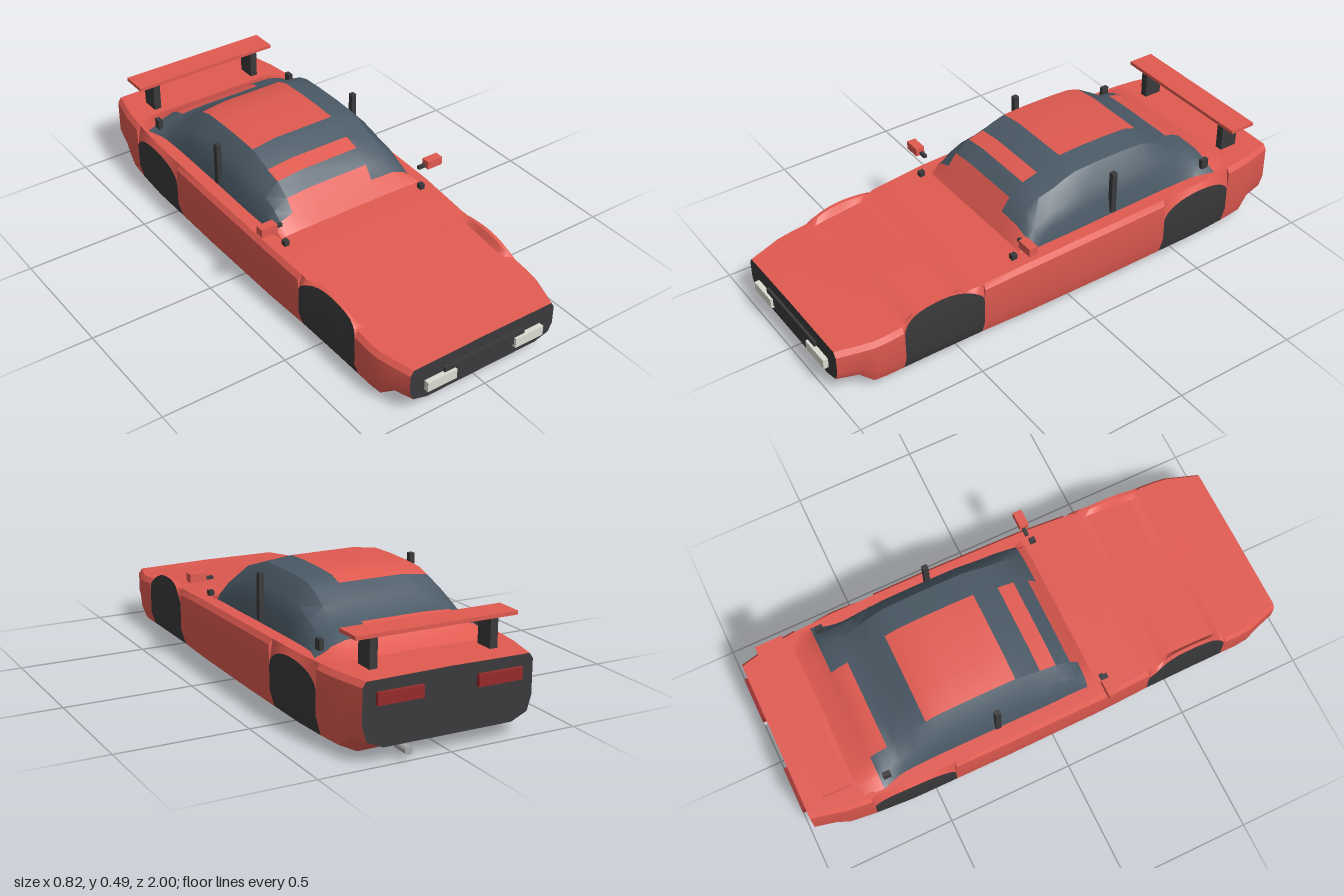
import * as THREE from 'three';
import { toCreasedNormals } from 'three/addons/utils/BufferGeometryUtils.js';

const mat = (color) => new THREE.MeshStandardMaterial({ color, side: THREE.DoubleSide });
const red = mat(0xe05a50), glass = mat(0x4b5a66), dark = mat(0x3a3a3c);
const lamp = mat(0xdcdcd2), tail = mat(0x962a2a), metal = mat(0xaaaaaa);

// Linear lookup in a table of [z, value, ...] rows ordered from front to rear
function at(table, z, k = 1) {
  for (let i = 1; i < table.length; i++) {
    const a = table[i - 1], b = table[i];
    if (z >= b[0]) return a[k] + (b[k] - a[k]) * THREE.MathUtils.clamp((a[0] - z) / (a[0] - b[0]), 0, 1);
  }
  return table[table.length - 1][k];
}

// z, half width, underside, top
const hull = [
  [0.98, 0.32, 0.055, 0.2], [0.9, 0.345, 0.05, 0.205], [0.85, 0.36, 0, 0.209], [0.8, 0.365, 0, 0.213],
  [0.6, 0.367, 0, 0.235], [0.4, 0.371, 0, 0.257], [0.2, 0.38, 0, 0.27], [-0.2, 0.384, 0, 0.28],
  [-0.6, 0.382, 0, 0.287], [-0.75, 0.372, 0, 0.29], [-0.85, 0.36, 0, 0.29], [-0.9, 0.348, 0.05, 0.29],
  [-0.98, 0.33, 0.055, 0.29],
];
const arches = [{ z: 0.565, r: 0.165 }, { z: -0.582, r: 0.163 }];
const archAt = (z) => arches.find((a) => Math.abs(z - a.z) <= a.r + 1e-6);

// Hull cross-section, counter-clockwise from the bottom centre
function hullRing(z) {
  const [w, b, t] = [1, 2, 3].map((k) => at(hull, z, k));
  const h = t - b, arch = archAt(z);
  const archTop = arch
    ? 0.19 + 0.075 * Math.sqrt(Math.max(0, 1 - ((z - arch.z) / arch.r) ** 2))
    : t - 0.02;
  const lean = THREE.MathUtils.clamp((archTop - t + 0.02) * 0.4, 0, 0.015);
  const half = [
    [0, b], [w * 0.76, b], [w * 0.95, b + h * 0.12], [w, b + h * 0.36],
    [w - lean, archTop], [w - 0.014 - lean, Math.max(t, archTop)], [w - 0.045, t], [0, t + 0.003],
  ];
  const mirrored = half.slice(1, -1).reverse().map(([x, y]) => [-x, y]);
  return [...half, ...mirrored].map(([x, y]) => [x, y, z]);
}

// Skin between rings, split into one mesh per paint
function skin(rings, closed, paint, names) {
  const group = new THREE.Group(), parts = new Map();
  const n = rings[0].length;
  for (let i = 0; i < rings.length - 1; i++) {
    for (let j = 0; j < (closed ? n : n - 1); j++) {
      const a = rings[i][j], b = rings[i][(j + 1) % n];
      const c = rings[i + 1][(j + 1) % n], d = rings[i + 1][j];
      const m = paint((a[2] + d[2]) / 2, j);
      if (!parts.has(m)) parts.set(m, []);
      parts.get(m).push(...a, ...d, ...c, ...a, ...c, ...b);
    }
  }
  for (const [m, p] of parts) {
    const g = new THREE.BufferGeometry();
    g.setAttribute('position', new THREE.Float32BufferAttribute(p, 3));
    const mesh = new THREE.Mesh(toCreasedNormals(g, 0.55), m);
    mesh.name = names.get(m);
    group.add(mesh);
  }
  return group;
}

function makeHull() {
  const zs = hull.map((r) => r[0]).filter((z) => !archAt(z));
  for (const a of arches) {
    for (let k = 0; k <= 16; k++) zs.push(a.z - a.r * Math.cos((k / 16) * Math.PI));
    zs.push(a.z + a.r + 0.004, a.z - a.r - 0.004);
  }
  zs.sort((p, q) => q - p);
  const archColumns = [1, 2, 3, 10, 11, 12, 13];
  const body = skin(zs.map(hullRing), true,
    (z, j) => (archAt(z) && archColumns.includes(j) ? dark : red),
    new Map([[red, 'bodyShell'], [dark, 'wheelArches']]));
  body.name = 'body';
  // Dark end panels
  for (const [z, name] of [[0.98, 'frontPanel'], [-0.98, 'rearPanel']]) {
    const shape = new THREE.Shape(hullRing(z).map(([x, y]) => new THREE.Vector2(x, y)));
    const panel = new THREE.Mesh(new THREE.ShapeGeometry(shape), dark);
    panel.name = name;
    panel.position.z = z;
    if (z < 0) panel.rotation.y = Math.PI;
    body.add(panel);
  }
  return body;
}

function makeCabin() {
  // z, roof height, half width at the base
  const roof = [
    [0.2, 0.274, 0.33], [0.16, 0.335, 0.318], [0.125, 0.385, 0.316], [0.065, 0.428, 0.316],
    [0, 0.445, 0.318], [-0.05, 0.467, 0.318], [-0.1, 0.483, 0.318], [-0.2, 0.487, 0.318],
    [-0.32, 0.486, 0.318], [-0.41, 0.481, 0.318], [-0.46, 0.464, 0.318], [-0.53, 0.418, 0.32],
    [-0.59, 0.376, 0.323], [-0.62, 0.367, 0.328], [-0.66, 0.356, 0.342], [-0.69, 0.338, 0.354],
    [-0.73, 0.31, 0.354], [-0.78, 0.291, 0.352],
  ];
  const rings = roof.map(([z, y, w]) => {
    const base = at(hull, z, 3) - 0.002;
    const half = [[w, 0], [0.306, 0.35], [0.285, 0.63], [0.23, 0.93], [0.13, 1]]
      .map(([x, f]) => [x, base + f * (y - base), z]);
    return [...half, ...half.slice().reverse().map(([x, yy, zz]) => [-x, yy, zz])];
  });
  // Painted roof, header strip, cowl and rear deck between the windows
  const paint = (z, j) => {
    if (z > 0.16 || z < -0.69) return red;
    const middle = j === 4 || j === 5;
    const band = z > 0.125 || (z > 0 && z < 0.065) || (z > -0.46 && z < -0.1) || z < -0.62;
    return middle && band ? red : glass;
  };
  const cabin = skin(rings, false, paint, new Map([[red, 'roofPanels'], [glass, 'windows']]));
  cabin.name = 'cabin';
  return cabin;
}

export function createModel() {
  const car = new THREE.Group();
  car.name = 'car';
  car.add(makeHull(), makeCabin());

  // Box given by its centre and size
  const box = (name, m, [x, y, z], size) => {
    const mesh = new THREE.Mesh(new THREE.BoxGeometry(...size), m);
    mesh.name = name;
    mesh.position.set(x, y, z);
    car.add(mesh);
  };

  box('grilleBar', dark, [0, 0.13, 0.982], [0.356, 0.05, 0.016]);
  box('wingBlade', red, [0, 0.412, -0.853], [0.63, 0.014, 0.108]);
  for (const [s, side] of [[1, 'left'], [-1, 'right']]) {
    box(side + 'Headlight', lamp, [s * 0.195, 0.114, 0.985], [0.126, 0.04, 0.03]);
    box(side + 'TailLight', tail, [s * 0.193, 0.228, -0.984], [0.175, 0.044, 0.022]);
    box(side + 'WingStrut', dark, [s * 0.235, 0.345, -0.848], [0.03, 0.12, 0.075]);
    box(side + 'DoorPillar', dark, [s * 0.315, 0.378, -0.213], [0.02, 0.175, 0.022]);
    box(side + 'MirrorHousing', red, [s * 0.378, 0.355, 0.216], [0.067, 0.033, 0.036]);
    box(side + 'MirrorStalk', dark, [s * 0.33, 0.347, 0.212], [0.034, 0.012, 0.014]);
    box(side + 'MirrorBase', dark, [s * 0.312, 0.278, 0.235], [0.02, 0.022, 0.022]);
    box(side + 'RearLatch', dark, [s * 0.314, 0.325, -0.662], [0.018, 0.04, 0.03]);
  }

  const exhaust = new THREE.Mesh(new THREE.CylinderGeometry(0.015, 0.015, 0.07, 16), metal);
  exhaust.name = 'exhaustPipe';
  exhaust.rotation.x = Math.PI / 2;
  exhaust.position.set(0.165, 0.035, -0.965);
  car.add(exhaust);
  return car;
}
